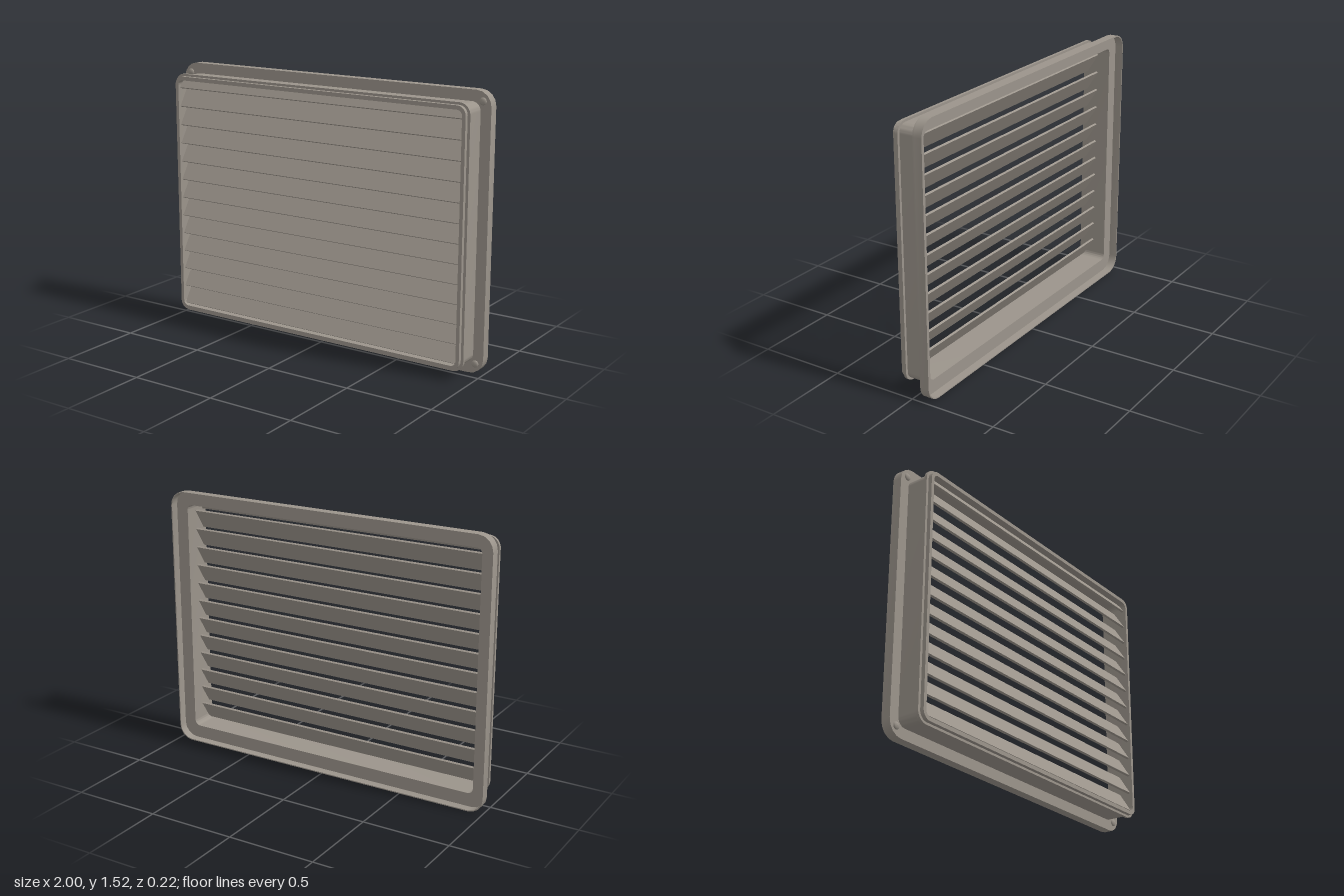
import * as THREE from 'three';
import { toCreasedNormals } from 'three/addons/utils/BufferGeometryUtils.js';

const H = 1.52, CY = H / 2;

// Rounded rectangle centred on the origin
function roundedRect(hw, hh, r, Type = THREE.Shape) {
  const s = new Type();
  s.moveTo(hw, -hh + r);
  s.lineTo(hw, hh - r);
  s.absarc(hw - r, hh - r, r, 0, Math.PI / 2, false);
  s.lineTo(-hw + r, hh);
  s.absarc(-hw + r, hh - r, r, Math.PI / 2, Math.PI, false);
  s.lineTo(-hw, -hh + r);
  s.absarc(-hw + r, -hh + r, r, Math.PI, Math.PI * 1.5, false);
  s.lineTo(hw - r, -hh);
  s.absarc(hw - r, -hh + r, r, Math.PI * 1.5, Math.PI * 2, false);
  return s;
}

export function createModel() {
  const group = new THREE.Group();
  group.name = 'louvreVent';
  const grey = new THREE.MeshStandardMaterial({ color: 0x9b948b });
  grey.name = 'warmGrey';

  const add = (name, geometry, x = 0, y = 0, z = 0) => {
    const mesh = new THREE.Mesh(geometry, grey);
    mesh.name = name;
    mesh.position.set(x, y, z);
    group.add(mesh);
    return mesh;
  };

  // Frame ring between two rounded rectangles [halfWidth, halfHeight, radius]
  const ring = (name, outer, inner, z0, z1, segments) => {
    const shape = roundedRect(...outer);
    shape.holes.push(roundedRect(...inner, THREE.Path));
    const g = new THREE.ExtrudeGeometry(shape, { depth: z1 - z0, bevelEnabled: false, curveSegments: segments });
    add(name, toCreasedNormals(g, 0.9), 0, CY, z0);
  };

  // Mounting flange: thin front plate with a shallow lip turned backwards
  ring('flangePlate', [1, CY, 0.085], [0.92, 0.678, 0.03], -0.06, -0.053, 2);
  ring('flangeLip', [1, CY, 0.085], [0.994, CY - 0.006, 0.079], -0.107, -0.06, 2);

  // Duct wall, and the raised bead around its front
  ring('ductWall', [0.94, 0.70, 0.05], [0.92, 0.678, 0.03], -0.06, 0.108, 6);
  ring('sealBead', [0.955, 0.713, 0.063], [0.935, 0.695, 0.045], 0.07, 0.086, 6);

  // Sloping slats: high at the back, low at the front
  const pitch = 0.1083, zBack = 0.025, zFront = 0.093, drop = 0.108, t = 0.012;
  const len = Math.hypot(drop, zFront - zBack);
  const nz = drop / len, ny = (zFront - zBack) / len;
  for (let i = 0; i < 13; i++) {
    const yLow = 0.094 + i * pitch;
    const f = Math.min(1, (1.438 - yLow) / drop);
    const yHigh = yLow + drop * f, zHigh = zFront + (zBack - zFront) * f;
    // Shape x becomes -z after turning, so the section is drawn as (-z, y)
    const section = new THREE.Shape([
      new THREE.Vector2(-zFront, yLow),
      new THREE.Vector2(-zFront + t * nz, yLow - t * ny),
      new THREE.Vector2(-zHigh + t * nz, yHigh - t * ny),
      new THREE.Vector2(-zHigh, yHigh),
    ]);
    const g = new THREE.ExtrudeGeometry(section, { depth: 1.85, bevelEnabled: false });
    g.translate(0, 0, -0.925);
    g.rotateY(Math.PI / 2);
    add('slat' + (i + 1), g);
  }

  // Domed screw heads in the flange corners
  const profile = [[0.02, 0], [0.02, 0.005], [0.015, 0.009], [0.008, 0.011], [0, 0.012]];
  const screw = new THREE.LatheGeometry(profile.map(p => new THREE.Vector2(...p)), 16);
  screw.rotateX(Math.PI / 2);
  for (const sx of [-1, 1]) {
    for (const sy of [-1, 1]) add('cornerScrew', screw, sx * 0.953, CY + sy * 0.704, -0.054);
  }
  return group;
}
